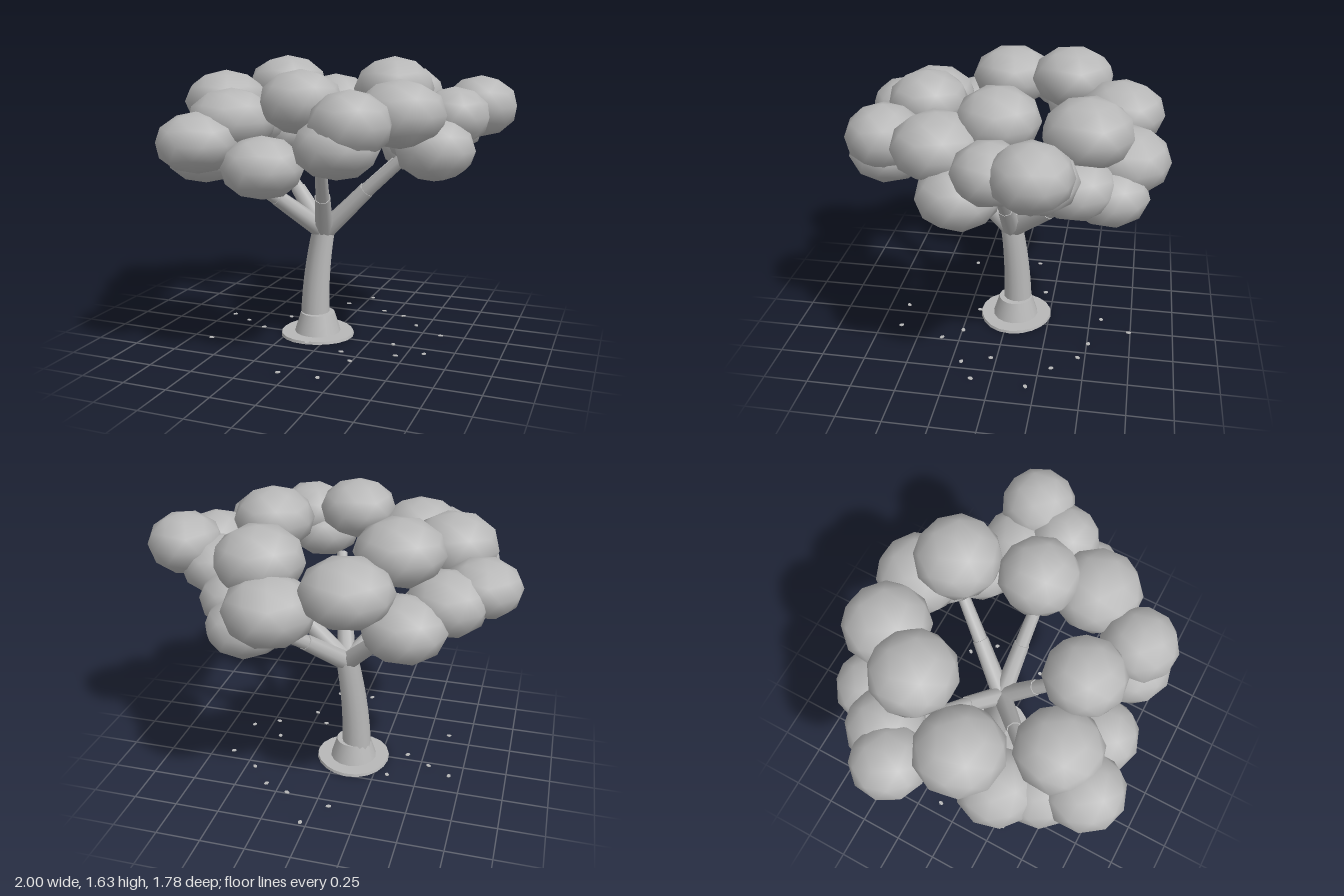
import * as THREE from 'three';

const gray = new THREE.MeshStandardMaterial({ color: 0xb8b8b8 });
gray.name = 'plain gray';

// Foliage clumps: x, y, z, horizontal radius, vertical radius
const CLUMPS = [
  [0.19, 1.21, -0.65, 0.235, 0.18], [-0.19, 1.33, -0.61, 0.235, 0.17],
  [0.30, 1.39, -0.46, 0.235, 0.18], [-0.39, 1.45, -0.32, 0.23, 0.17],
  [-0.61, 1.37, 0.06, 0.235, 0.175], [0.37, 1.46, -0.015, 0.215, 0.17],
  [-0.36, 1.31, 0.48, 0.23, 0.165], [0.01, 1.41, 0.43, 0.215, 0.165],
  [0.49, 1.35, 0.27, 0.235, 0.175], [0.33, 1.32, 0.59, 0.205, 0.17],
  [0.80, 1.36, -0.24, 0.2, 0.165], [-0.46, 1.21, 0.68, 0.21, 0.155],
  [-0.80, 1.27, -0.24, 0.2, 0.15], [-0.64, 1.22, -0.36, 0.21, 0.165],
  [-0.46, 1.14, -0.54, 0.215, 0.165], [0.70, 1.32, -0.03, 0.19, 0.155],
  [0.60, 1.25, -0.23, 0.22, 0.16], [0.43, 1.15, -0.41, 0.215, 0.16],
  [0.34, 1.08, -0.58, 0.21, 0.16], [0.64, 1.16, 0.14, 0.21, 0.165],
  [-0.64, 1.17, 0.28, 0.21, 0.16], [-0.53, 1.13, 0.47, 0.21, 0.16],
  [-0.13, 1.09, 0.61, 0.21, 0.16], [0.26, 1.21, 0.59, 0.215, 0.16],
];

// Branch ends
const BRANCHES = [
  [-0.5, 1.09, 0.41], [-0.5, 1.08, -0.27], [0.1, 1.13, 0.4],
  [0.52, 1.17, -0.03], [0.35, 1.09, -0.54],
];

// Fallen leaves: x, z
const LEAVES = [
  [-0.62, 0.3], [-0.68, -0.12], [-0.55, -0.05], [-0.41, 0.03], [-0.33, -0.2],
  [-0.08, -0.57], [0.03, -0.74], [0.18, -0.51], [0.32, -0.46], [0.44, -0.32],
  [0.62, -0.2], [0.4, 0.03], [0.46, 0.19], [0.6, 0.11], [0.25, 0.35],
  [-0.05, 0.63], [0.17, 0.62], [0.16, 0.24], [-0.07, 0.18],
];

function add(parent, name, geometry) {
  const mesh = new THREE.Mesh(geometry, gray);
  mesh.name = name;
  parent.add(mesh);
  return mesh;
}

function group(parent, name) {
  const g = new THREE.Group();
  g.name = name;
  parent.add(g);
  return g;
}

// Tapered limb between two points
function limb(parent, name, a, b, r0, r1) {
  const dir = b.clone().sub(a);
  const mesh = add(parent, name, new THREE.CylinderGeometry(r1, r0, dir.length(), 8));
  mesh.position.copy(a).add(b).multiplyScalar(0.5);
  mesh.quaternion.setFromUnitVectors(new THREE.Vector3(0, 1, 0), dir.normalize());
}

export function createModel() {
  const tree = new THREE.Group();
  tree.name = 'tree';

  // Ground disc with a slightly uneven rim, and the root flare
  const discGeo = new THREE.CylinderGeometry(0.212, 0.216, 0.016, 20);
  const dp = discGeo.attributes.position;
  for (let i = 0; i < dp.count; i++) {
    const a = Math.atan2(dp.getZ(i), dp.getX(i));
    const k = 1 + 0.025 * Math.sin(3 * a + 1);
    dp.setXYZ(i, dp.getX(i) * k, dp.getY(i), dp.getZ(i) * k);
  }
  add(tree, 'groundDisc', discGeo).position.set(-0.09, 0.008, -0.04);
  add(tree, 'rootFlare', new THREE.CylinderGeometry(0.1, 0.136, 0.115, 16))
    .position.set(-0.09, 0.073, -0.04);

  // Trunk bending gently toward the crown
  const trunkGeo = new THREE.CylinderGeometry(0.066, 0.086, 0.56, 14, 8);
  const tp = trunkGeo.attributes.position;
  for (let i = 0; i < tp.count; i++) {
    const t = Math.max(0, tp.getY(i) / 0.56 + 0.5);
    tp.setX(i, tp.getX(i) - 0.11 + 0.068 * t * t);
    tp.setZ(i, tp.getZ(i) - 0.05 + 0.03 * t * t);
  }
  add(tree, 'trunk', trunkGeo).position.y = 0.37;

  // Branches: a thick lower piece and a thinner upper one with a small kink
  const branches = group(tree, 'branches');
  const fork = new THREE.Vector3(-0.04, 0.63, -0.02);
  for (const end of BRANCHES) {
    const tip = new THREE.Vector3(...end);
    const joint = fork.clone().lerp(tip, 0.45);
    joint.y += 0.012;
    limb(branches, 'lowerBranch', fork, joint, 0.056, 0.046);
    limb(branches, 'upperBranch', fork.clone().lerp(joint, 0.9), tip, 0.042, 0.032);
  }

  // Foliage: squashed low-poly balls with a vertex at the top
  const crown = group(tree, 'foliage');
  const ball = new THREE.IcosahedronGeometry(1.02, 1);
  ball.rotateZ(Math.atan(2 / (1 + Math.sqrt(5))));
  CLUMPS.forEach(([x, y, z, r, h], i) => {
    const clump = add(crown, 'leafClump', ball);
    clump.position.set(x, y, z);
    clump.scale.set(r, h, r);
    clump.rotation.y = i * 2.4;
  });

  // Fallen leaves
  const fallen = group(tree, 'fallenLeaves');
  const leaf = new THREE.CylinderGeometry(0.016, 0.016, 0.004, 6);
  LEAVES.forEach(([x, z], i) => {
    const m = add(fallen, 'fallenLeaf', leaf);
    m.position.set(x, 0.016, z);
    m.scale.z = 0.75;
    m.rotation.y = i * 1.3;
  });

  return tree;
}
